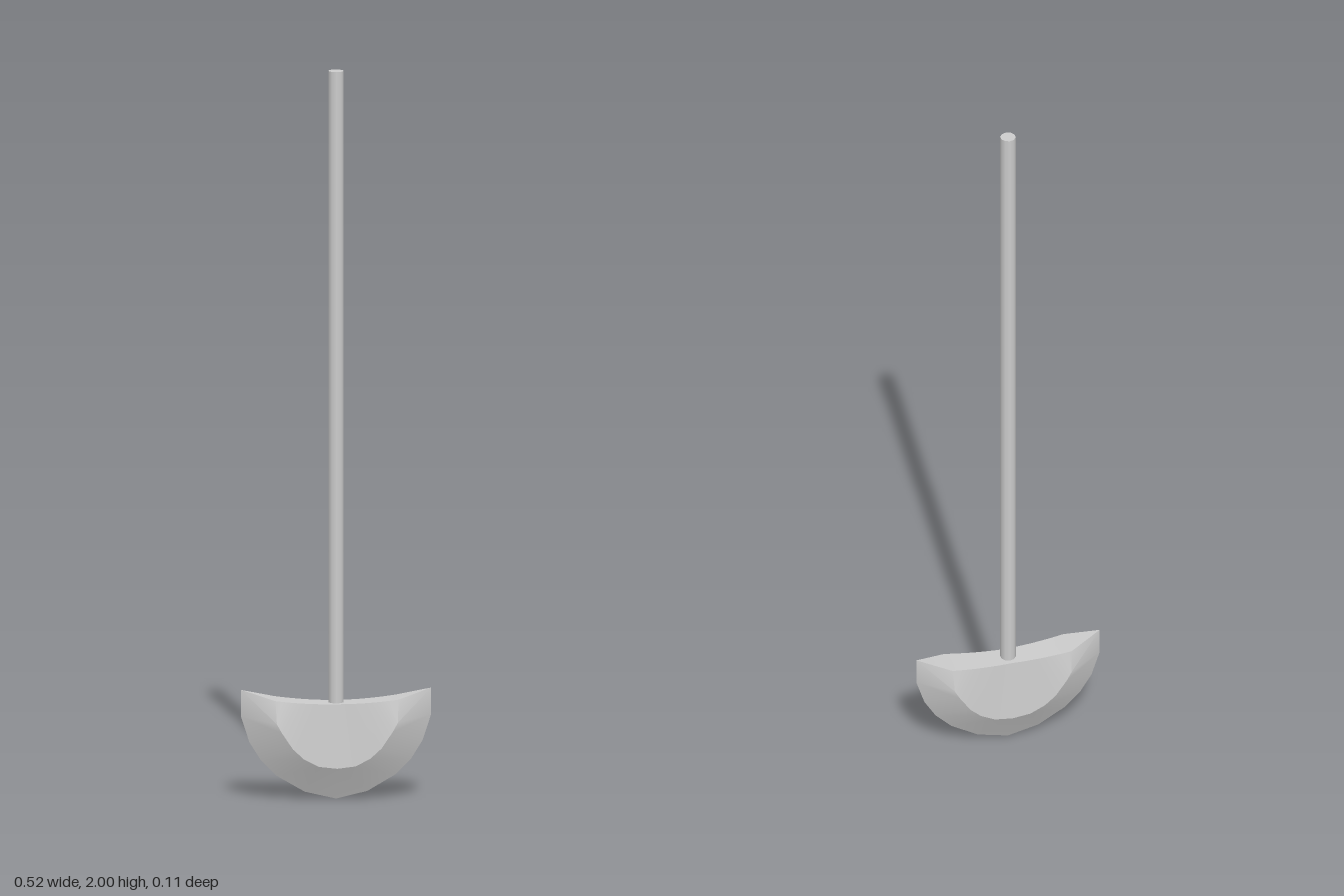
import * as THREE from 'three';
import { toCreasedNormals } from 'three/addons/utils/BufferGeometryUtils.js';

// Blade sections from the horn tip down to the middle of the cutting edge (one quarter)
const edge = [[0.258, 0.302], [0.258, 0.229], [0.235, 0.158], [0.204, 0.108], [0.16, 0.064], [0.085, 0.02], [0, 0]]
  .map(([x, y]) => [x, y, 0]);
const ridge = [[0.167, 0.277, 0.041], [0.164, 0.215, 0.052], [0.15, 0.19, 0.053], [0.12, 0.145, 0.051],
  [0.09, 0.117, 0.049], [0.05, 0.096, 0.047], [0, 0.09, 0.047]];
const top = [0.167, 0.15, 0.13, 0.1, 0.07, 0.035, 0].map((x) => {
  const t = x / 0.167;
  return [x, 0.265 + 0.012 * t * t, 0.034 + 0.007 * t];
});
const middle = top.map(([x, y]) => [x, y, 0]);

function bladeGeometry() {
  const positions = [];
  const same = (a, b) => a.every((v, i) => Math.abs(v - b[i]) < 1e-6);
  for (const sx of [1, -1]) {
    for (const sz of [1, -1]) {
      const tri = (a, b, c) => {
        if (same(a, b) || same(b, c) || same(a, c)) return;
        const corners = sx * sz > 0 ? [a, b, c] : [a, c, b];
        for (const [x, y, z] of corners) positions.push(x * sx, y, z * sz);
      };
      // Bevel, cheek and top face
      for (const [p, q] of [[edge, ridge], [ridge, top], [top, middle]]) {
        for (let i = 0; i < p.length - 1; i++) {
          tri(p[i], q[i], q[i + 1]);
          tri(p[i], q[i + 1], p[i + 1]);
        }
      }
      // Horn tip
      tri(top[0], edge[0], middle[0]);
    }
  }
  const geometry = new THREE.BufferGeometry();
  geometry.setAttribute('position', new THREE.Float32BufferAttribute(positions, 3));
  return toCreasedNormals(geometry, 0.5);
}

export function createModel() {
  const group = new THREE.Group();
  const material = new THREE.MeshStandardMaterial({ color: 0xcccccc });

  const blade = new THREE.Mesh(bladeGeometry(), material);
  blade.name = 'blade';
  group.add(blade);

  // Shaft sunk slightly into the top of the blade
  const shaft = new THREE.Mesh(new THREE.CylinderGeometry(0.021, 0.021, 1.75, 10), material);
  shaft.name = 'shaft';
  shaft.position.y = 1.125;
  group.add(shaft);

  return group;
}
